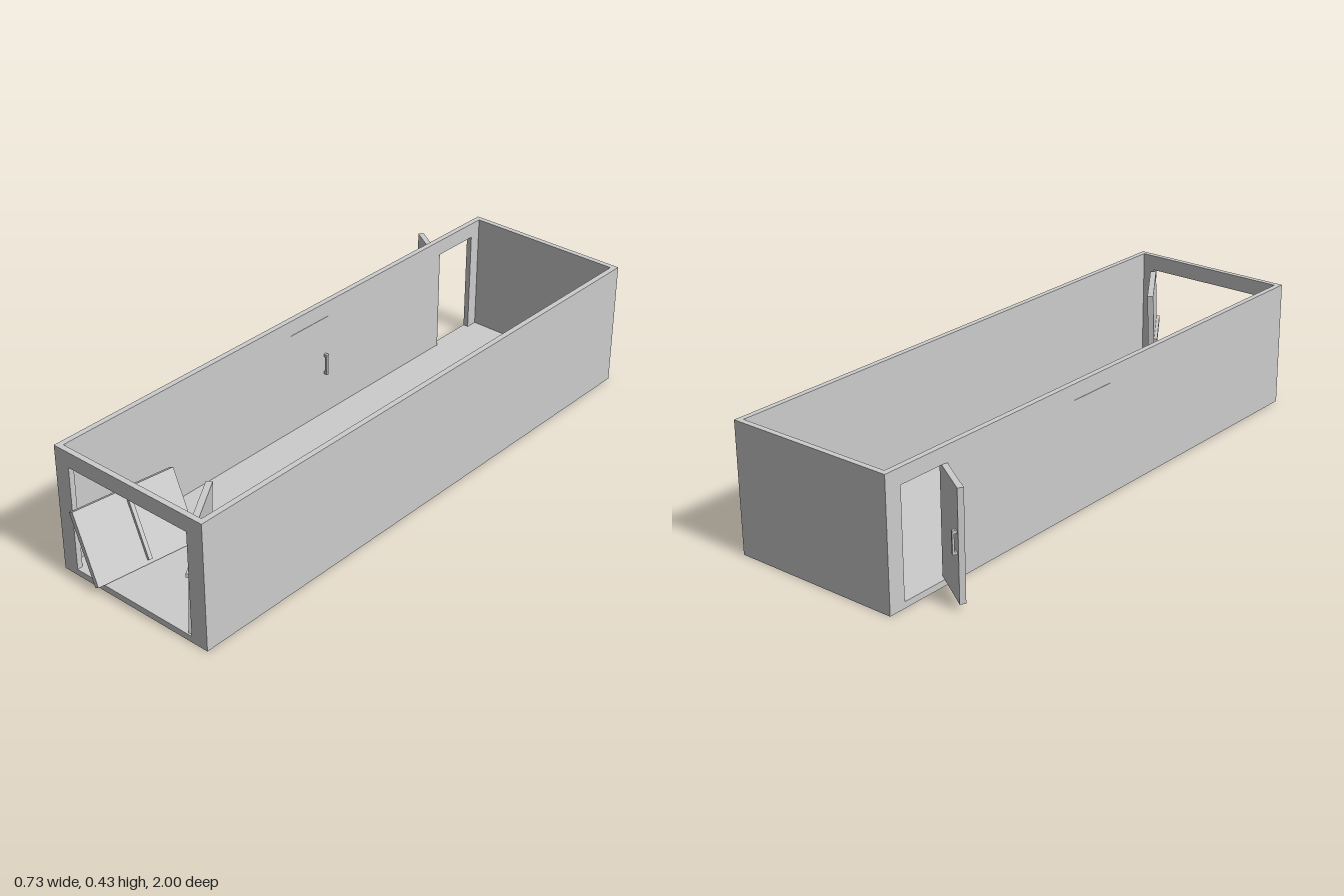
import * as THREE from 'three';

const mat = new THREE.MeshStandardMaterial({ color: 0xcccccc, flatShading: true });

// Box given by its minimum and maximum corners
function box(name, [x0, y0, z0], [x1, y1, z1]) {
  const m = new THREE.Mesh(new THREE.BoxGeometry(x1 - x0, y1 - y0, z1 - z0), mat);
  m.position.set((x0 + x1) / 2, (y0 + y1) / 2, (z0 + z1) / 2);
  m.name = name;
  return m;
}

// Wall of the given outline, extruded to the wall thickness
function wall(name, points, depth) {
  const shape = new THREE.Shape(points.map(([x, y]) => new THREE.Vector2(x, y)));
  const m = new THREE.Mesh(new THREE.ExtrudeGeometry(shape, { depth, bevelEnabled: false }), mat);
  m.name = name;
  return m;
}

const X0 = -0.228, X1 = 0.363, Z0 = -1, Z1 = 0.975;
const FLOOR = 0.021, TOP = 0.433, HEAD = 0.38, T = 0.019;
const DOOR_H = 0.358;

// Front leaf with a push bar; hinge edge at local x = 0, inner face towards +z
function frontLeaf(name) {
  const w = 0.237;
  const g = new THREE.Group();
  g.name = name;
  g.add(box('leafPanel', [-w, 0, 0], [0, DOOR_H, 0.02]));
  g.add(box('pushBar', [-w + 0.013, 0.178, 0.02], [-0.013, 0.191, 0.031]));
  return g;
}

// Side door with a pull handle; hinge edge at local x = 0, inner face at z = 0
function sideDoor(name) {
  const w = 0.18;
  const g = new THREE.Group();
  g.name = name;
  g.add(box('doorPanel', [0, 0, -T], [w, DOOR_H, 0]));
  const x0 = w - 0.022, x1 = w - 0.012;
  g.add(box('handleGrip', [x0, 0.15, 0.008], [x1, 0.225, 0.014]));
  for (const y of [0.15, 0.215]) g.add(box('handleMount', [x0, y, 0], [x1, y + 0.01, 0.008]));
  return g;
}

export function createModel() {
  const room = new THREE.Group();
  room.name = 'room';

  // Floor and plain walls
  room.add(box('floor', [X0, 0, Z0], [X1, FLOOR, Z1]));
  room.add(box('leftWall', [X1 - T, FLOOR, Z0], [X1, TOP, Z1]));
  room.add(box('backWall', [X0 + T, FLOOR, Z0], [X1 - T, TOP, Z0 + T]));

  // Front wall with the wide doorway
  const front = wall('frontWall', [
    [X0 + T, FLOOR], [-0.172, FLOOR], [-0.172, HEAD], [0.302, HEAD], [0.302, FLOOR],
    [X1 - T, FLOOR], [X1 - T, TOP], [X0 + T, TOP],
  ], T);
  front.position.z = Z1 - T;
  room.add(front);

  // Right wall with two side doorways
  const outline = [[Z0, FLOOR]];
  for (const [a, b] of [[-0.94, -0.76], [-0.18, 0]]) {
    outline.push([a, FLOOR], [a, HEAD], [b, HEAD], [b, FLOOR]);
  }
  outline.push([Z1, FLOOR], [Z1, TOP], [Z0, TOP]);
  const right = wall('rightWall', outline, T);
  right.rotation.y = -Math.PI / 2;
  right.position.x = X0 + T;
  room.add(right);

  // Side doors: one shut, one swung outwards
  const shut = sideDoor('closedSideDoor');
  shut.position.set(X0 + T, FLOOR, 0);
  shut.rotation.y = Math.PI / 2;
  const open = sideDoor('openSideDoor');
  open.position.set(-0.207, FLOOR, -0.76);
  open.rotation.y = 2.57;
  room.add(shut, open);

  // Front leaf still on its hinges, swung inwards and sagging
  const hung = frontLeaf('hangingFrontLeaf');
  hung.position.set(0.302, FLOOR, 0.96);
  hung.rotation.set(-0.06, -0.988, 0);
  room.add(hung);

  // Front leaf torn off and lying on its long edge
  const fallen = frontLeaf('fallenFrontLeaf');
  const across = new THREE.Vector3(0.107, -0.213, 0.014).normalize();
  const along = new THREE.Vector3(0.053, 0.003, -0.355).normalize();
  const normal = new THREE.Vector3().crossVectors(across, along).normalize();
  along.crossVectors(normal, across);
  fallen.quaternion.setFromRotationMatrix(new THREE.Matrix4().makeBasis(across, along, normal));
  fallen.position.set(-0.072, 0.016, 0.997);
  room.add(fallen);

  return room;
}
